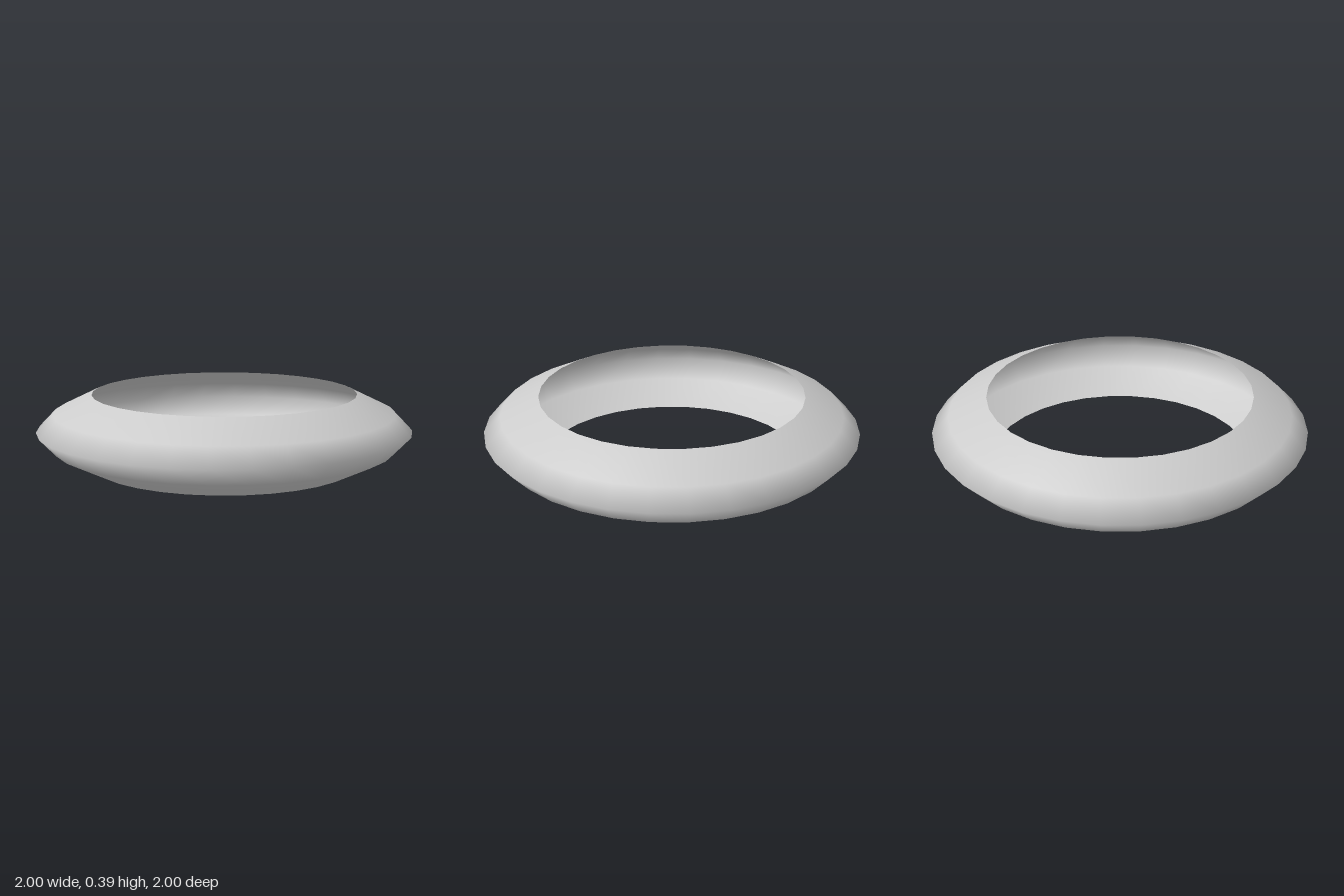
import * as THREE from 'three';

export function createModel() {
  const group = new THREE.Group();
  group.name = 'ring';

  // Open, outward-bulging band: profile from lower rim to upper rim
  const profile = [
    [0.705, 0],
    [0.91, 0.1],
    [1, 0.194],
    [0.91, 0.288],
    [0.705, 0.388],
  ].map(([r, y]) => new THREE.Vector2(r, y));

  const band = new THREE.Mesh(
    new THREE.LatheGeometry(profile, 32),
    new THREE.MeshStandardMaterial({ color: 0xcccccc, side: THREE.DoubleSide })
  );
  band.name = 'band';
  group.add(band);
  return group;
}
